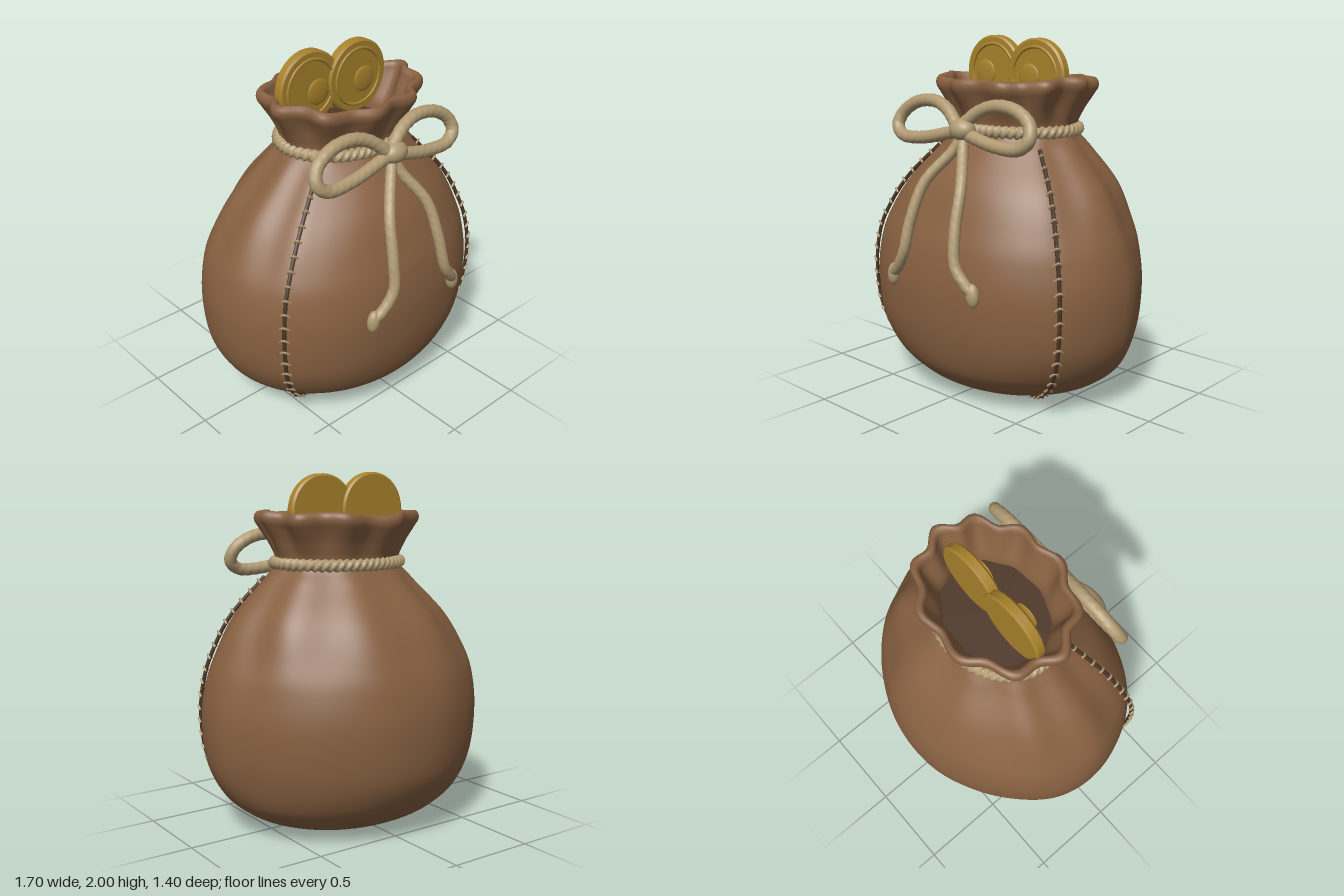
import * as THREE from 'three';
import { mergeVertices } from 'three/addons/utils/BufferGeometryUtils.js';

const V = (x, y, z) => new THREE.Vector3(x, y, z);
const mat = (color, side = THREE.FrontSide) => new THREE.MeshStandardMaterial({ color, side });
const leather = mat(0x886141, THREE.DoubleSide), dark = mat(0x4e3627, THREE.DoubleSide);
const ropeMat = mat(0xb09a72), gold = mat(0xa8822c);
const smooth = THREE.MathUtils.smoothstep;

// Sack profile (radius, height): base, belly, neck, collar, rolled rim, inner wall
const profile = new THREE.SplineCurve([
  [0, 0.005], [0.2, 0.005], [0.36, 0.012], [0.5, 0.05], [0.62, 0.11], [0.74, 0.22], [0.82, 0.4],
  [0.842, 0.65], [0.813, 0.85], [0.753, 1.0], [0.635, 1.2], [0.45, 1.4], [0.37, 1.5], [0.395, 1.6],
  [0.445, 1.69], [0.47, 1.73], [0.468, 1.765], [0.447, 1.783], [0.42, 1.77], [0.408, 1.73], [0.37, 1.64],
  [0.335, 1.56], [0.325, 1.5], [0.33, 1.45],
].map(p => new THREE.Vector2(...p)));

// Uneven belly outline: radius factor every 20 degrees, from the model's left towards the front
const outline = new THREE.SplineCurve([
  1.005, 1.013, 1.013, 0.997, 0.965, 0.975, 1.012, 1.025, 1.01, 1.01,
  1.01, 0.995, 1.01, 1.045, 1.04, 1.0, 0.975, 0.965, 1.005,
].map((f, i) => new THREE.Vector2(i, f)));

// Point on the oval, pleated sack; a = 0 is the model's left, a = PI / 2 the front
function onSack(r, y, a) {
  const turn = THREE.MathUtils.euclideanModulo(a / (2 * Math.PI), 1);
  const collar = smooth(y, 1.5, 1.7), neck = smooth(y, 1.4, 1.5);
  const belly = smooth(y, 0.05, 0.4) * (1 - smooth(y, 1.0, 1.45));
  const gather = smooth(y, 0.7, 1.3) * (1 - neck) * (1 - 0.9 * smooth(Math.sin(a), 0.45, 0.75));
  const fold = Math.cos(10 * a - 0.9 - 0.7 * Math.sin(a) + 1.8 * (1 - Math.cos(a)) * 0.5);
  const lobes = Math.cos(10 * a + 0.9 * (1 - Math.cos(a)) * 0.5 + 0.9 * Math.sin(a));
  const k = r * (1 + belly * (outline.getPoint(turn).y - 1) + 0.024 * gather * fold
    + lobes * (0.015 * neck + 0.04 * collar));
  return V(k * Math.cos(a) + 0.04 * smooth(y, 0.8, 1.45),
    y + collar * (0.008 * Math.sin(5 * a + 0.5) + 0.008 * Math.cos(2 * a)), 0.8 * k * Math.sin(a));
}

function sackGeometry() {
  let g = new THREE.LatheGeometry(profile.getSpacedPoints(140), 200);
  const p = g.attributes.position;
  for (let i = 0; i < p.count; i++) {
    const x = p.getX(i), z = p.getZ(i);
    const v = onSack(Math.hypot(x, z), p.getY(i), Math.atan2(z, x));
    p.setXYZ(i, v.x, v.y, v.z);
  }
  g.deleteAttribute('uv');
  g.deleteAttribute('normal');
  g = mergeVertices(g, 1e-5);
  g.computeVertexNormals();
  return g;
}

// Twisted cord: a tube whose three strands wind around its path
function cordGeometry(points, radius, turns, depth, closed = false) {
  const steps = turns * 12, sides = 15;
  let g = new THREE.TubeGeometry(new THREE.CatmullRomCurve3(points, closed), steps, radius, sides, closed);
  const p = g.attributes.position, n = g.attributes.normal;
  for (let i = 0; i < p.count; i++) {
    const s = Math.floor(i / (sides + 1)) / steps, f = (i % (sides + 1)) / sides;
    const d = radius * depth * (Math.abs(Math.cos(3 * Math.PI * f - Math.PI * turns * s)) - 0.8);
    p.setXYZ(i, p.getX(i) + n.getX(i) * d, p.getY(i) + n.getY(i) * d, p.getZ(i) + n.getZ(i) * d);
  }
  g.deleteAttribute('uv');
  g.deleteAttribute('normal');
  g = mergeVertices(g, 1e-5);
  g.computeVertexNormals();
  return g;
}

export function createModel() {
  const model = new THREE.Group();
  const add = (name, geometry, material, parent = model) => {
    const m = new THREE.Mesh(geometry, material);
    m.name = name;
    parent.add(m);
    return m;
  };
  const ball = (name, pos, scale, material, parent) => {
    const m = add(name, new THREE.SphereGeometry(1, 28, 18), material, parent);
    m.position.copy(pos);
    m.scale.copy(scale);
    return m;
  };

  // Sack and the dark inside
  add('sack', sackGeometry(), leather);
  const inside = add('sackInside', new THREE.CircleGeometry(0.335, 48), dark);
  inside.rotation.x = -Math.PI / 2;
  inside.scale.y = 0.8;
  inside.position.set(0.04, 1.52, 0);

  // Seams with stitches on both sides of the front panel, standing slightly proud of the belly
  for (const [side, a] of [['left', 0.62], ['right', Math.PI - 0.61]]) {
    const seam = new THREE.Group();
    seam.name = side + 'Seam';
    model.add(seam);
    const at = (t, lift, da = 0, dy = 0) => {
      const p = profile.getPointAt(0.13 + 0.6 * t);
      return onSack(p.x + lift + 0.022 * Math.sin(Math.PI * t), p.y + dy, a + da);
    };
    const path = Array.from({ length: 40 }, (_, i) => at(i / 39, 0.006));
    add('seamLine', new THREE.TubeGeometry(new THREE.CatmullRomCurve3(path), 90, 0.011, 6), dark, seam);
    for (let i = 0; i < 23; i++) {
      const t = (i + 0.5) / 23;
      const stitch = new THREE.CatmullRomCurve3([
        at(t, 0.003, -0.03, -0.012), at(t, 0.02, 0, 0.01), at(t, 0.003, 0.03, -0.012)]);
      add('stitch', new THREE.TubeGeometry(stitch, 6, 0.0075, 6), ropeMat, seam);
    }
  }

  // Rope around the neck
  const ring = Array.from({ length: 48 }, (_, i) => {
    const a = i / 48 * 2 * Math.PI;
    return V(0.04 + 0.375 * Math.cos(a), 1.5, 0.305 * Math.sin(a));
  });
  add('neckRope', cordGeometry(ring, 0.034, 54, 0.4, true), ropeMat);

  // Bow: knot, two loops, two hanging tails
  const bow = new THREE.Group();
  bow.name = 'bow';
  model.add(bow);
  ball('knot', V(0.037, 1.515, 0.42), V(0.08, 0.06, 0.062), ropeMat, bow);
  const loop = [[0.02, 1.54, 0.41], [0.11, 1.61, 0.385], [0.22, 1.648, 0.37], [0.37, 1.635, 0.37],
    [0.475, 1.57, 0.385], [0.495, 1.5, 0.41], [0.44, 1.45, 0.425], [0.28, 1.447, 0.425], [0.02, 1.5, 0.415]];
  const tails = {
    left: [[0.035, 1.49, 0.41], [0.065, 1.4, 0.445], [0.16, 1.23, 0.555], [0.19, 1.02, 0.63],
      [0.22, 0.84, 0.66], [0.28, 0.755, 0.65], [0.32, 0.71, 0.635]],
    right: [[0.035, 1.49, 0.41], [-0.01, 1.4, 0.445], [-0.12, 1.23, 0.555], [-0.16, 1.02, 0.63],
      [-0.18, 0.86, 0.66], [-0.245, 0.755, 0.65], [-0.3, 0.71, 0.635]],
  };
  for (const [side, s, cx] of [['left', 1, 0.01], ['right', -1, 0]]) {
    add(side + 'Loop', cordGeometry(loop.map(([x, y, z]) => V(cx + s * x, y, z)), 0.036, 22, 0.05), ropeMat, bow);
    const pts = tails[side].map(p => V(...p));
    add(side + 'Tail', cordGeometry(pts, 0.031, 16, 0.05), ropeMat, bow);
    ball(side + 'TailEnd', pts[6].clone().add(V(0, -0.01, 0)), V(0.038, 0.065, 0.033), ropeMat, bow)
      .rotation.z = s * 0.1;
  }

  // Coins with a raised ring and a domed centre
  const coinPoints = [[0, -0.03], [0.197, -0.03], [0.208, -0.02], [0.208, 0.02], [0.197, 0.03], [0, 0.03]]
    .flatMap(p => [new THREE.Vector2(...p), new THREE.Vector2(...p)]);
  for (const [side, x, y, z] of [['left', 0.172, 1.782, -0.035], ['right', -0.157, 1.792, -0.05]]) {
    const coin = new THREE.Group();
    coin.name = side + 'Coin';
    coin.position.set(x, y, z);
    model.add(coin);
    add('disc', new THREE.LatheGeometry(coinPoints, 64), gold, coin).rotation.x = Math.PI / 2;
    add('ring', new THREE.TorusGeometry(0.16, 0.009, 8, 64), gold, coin).position.z = 0.03;
    ball('dome', V(0, 0, 0.038 - z), V(0.072, 0.072, 0.012), gold, coin);
  }
  return model;
}
